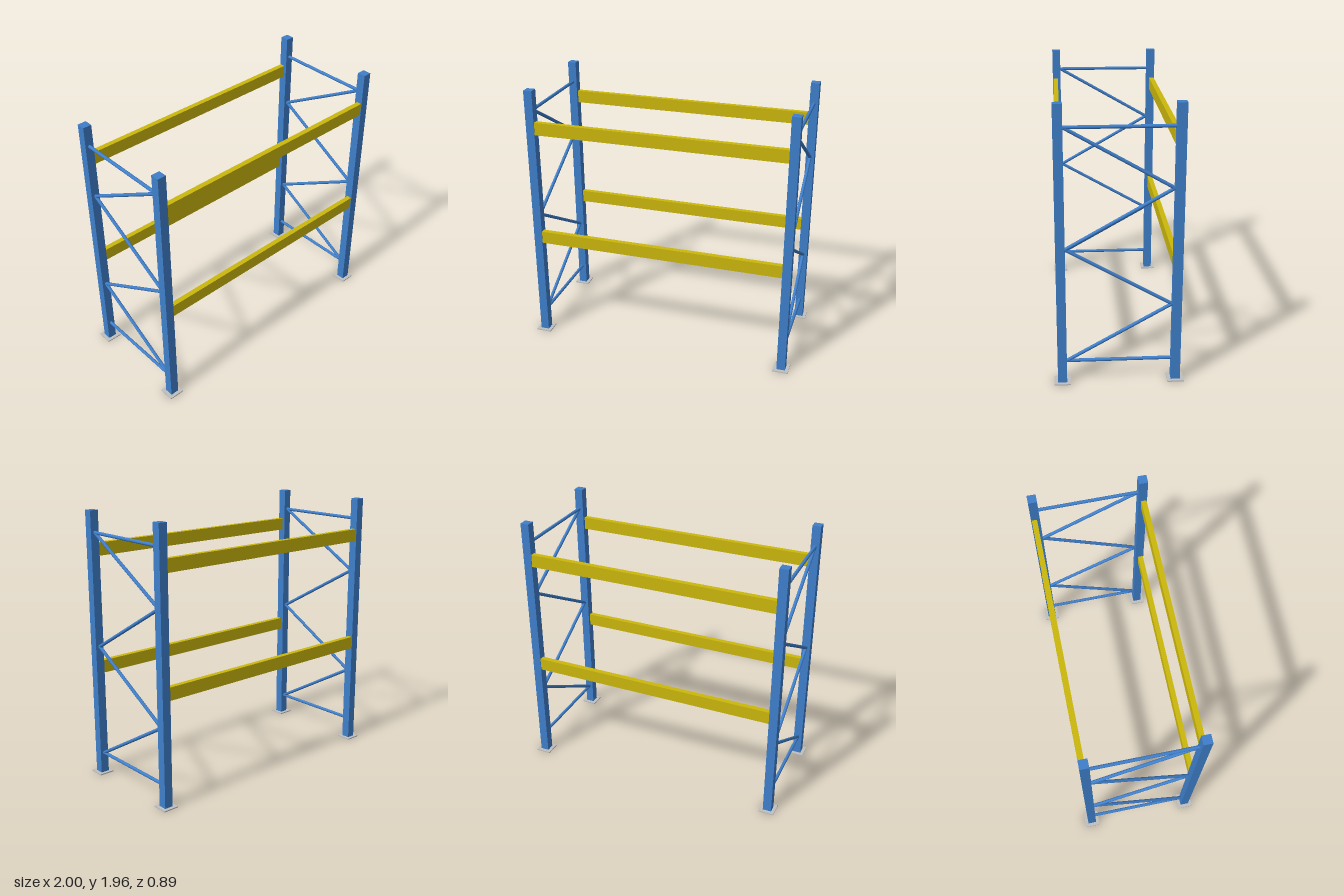
import * as THREE from 'three';

export function createModel() {
  const mat = (name, color) => {
    const m = new THREE.MeshStandardMaterial({ color });
    m.name = name;
    return m;
  };
  const blue = mat('frame blue', 0x3f7fcb);
  const yellow = mat('beam yellow', 0xcbb70c);
  const grey = mat('plate grey', 0xbfbfbf);

  const X = 0.943, Z = 0.388; // post centres
  const POST = 0.063, HEIGHT = 1.955, PLATE = 0.008;
  const INNER_Z = Z - POST / 2;

  const model = new THREE.Group();
  model.name = 'palletRack';

  const box = (parent, name, material, size, pos) => {
    const m = new THREE.Mesh(new THREE.BoxGeometry(...size), material);
    m.name = name;
    m.position.set(...pos);
    parent.add(m);
  };

  // Round brace between two (y, z) points in a side frame
  const brace = (parent, name, y0, z0, y1, z1) => {
    const a = new THREE.Vector3(0, y0, z0), b = new THREE.Vector3(0, y1, z1);
    const dir = b.clone().sub(a);
    const m = new THREE.Mesh(new THREE.CylinderGeometry(0.012, 0.012, dir.length(), 16), blue);
    m.name = name;
    m.position.copy(a).add(b).multiplyScalar(0.5);
    m.quaternion.setFromUnitVectors(new THREE.Vector3(0, 1, 0), dir.normalize());
    parent.add(m);
  };

  // Side frames: two posts on plates, joined by zigzag bracing
  const nodes = [0.16, 0.57, 0.98, 1.39, 1.8];
  for (const sx of [1, -1]) {
    const frame = new THREE.Group();
    frame.name = sx > 0 ? 'leftFrame' : 'rightFrame';
    frame.position.x = sx * X;
    for (const sz of [1, -1]) {
      const end = sz > 0 ? 'front' : 'back';
      box(frame, end + 'Post', blue, [POST, HEIGHT - PLATE, POST], [0, (HEIGHT + PLATE) / 2, sz * Z]);
      box(frame, end + 'BasePlate', grey, [0.114, PLATE, 0.114], [0, PLATE / 2, sz * Z]);
    }
    brace(frame, 'bottomBrace', nodes[0], INNER_Z, nodes[0], -INNER_Z);
    brace(frame, 'topBrace', nodes[4], INNER_Z, nodes[4], -INNER_Z);
    for (let i = 0; i < 4; i++) {
      const z = i % 2 ? -INNER_Z : INNER_Z;
      brace(frame, 'diagonalBrace', nodes[i], z, nodes[i + 1], -z);
    }
    model.add(frame);
  }

  // Load beams, set towards the outer faces of the posts
  for (const sz of [1, -1])
    for (const y of [0.817, 1.677])
      box(model, sz > 0 ? 'frontBeam' : 'backBeam', yellow, [2 * X - POST, 0.093, 0.038], [0, y, sz * 0.396]);

  return model;
}
